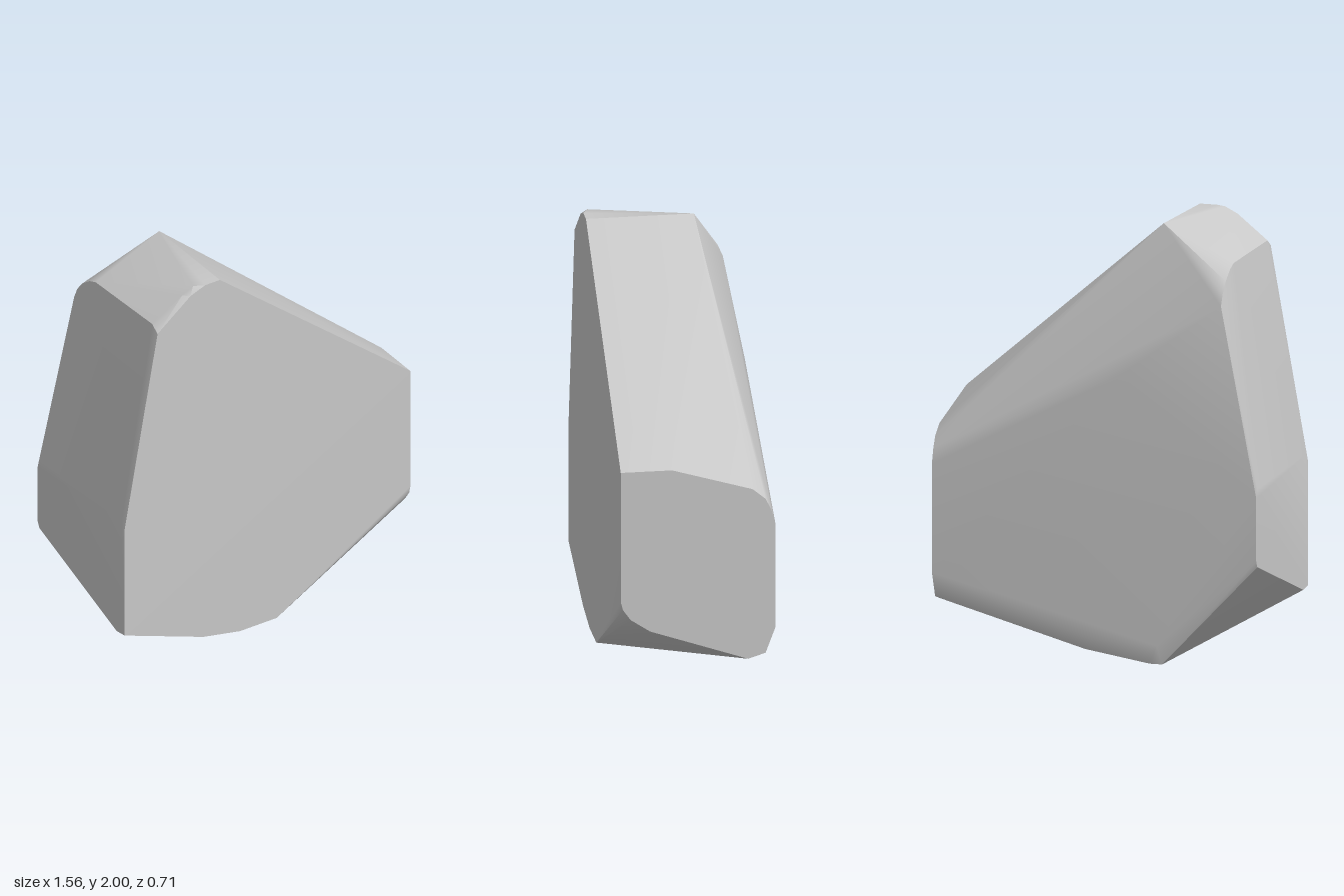
import * as THREE from 'three';
import { ConvexGeometry } from 'three/addons/geometries/ConvexGeometry.js';

// corners lying in a plane of constant x or z, listed as pairs
const atZ = (z, pairs) => pairs.map(([x, y]) => new THREE.Vector3(x, y, z));
const atX = (x, pairs) => pairs.map(([z, y]) => new THREE.Vector3(x, y, z));

// smooth shading weighted by face area, so broad faces stay flat; sharper edges than `angle` stay hard
function shadeByArea(geometry, angle) {
  const position = geometry.attributes.position;
  const normal = geometry.attributes.normal;
  const point = (i) => new THREE.Vector3().fromBufferAttribute(position, i);
  const facesAt = new Map();
  const key = (p) => p.toArray().map((v) => v.toFixed(4)).join();

  for (let i = 0; i < position.count; i += 3) {
    const [a, b, c] = [point(i), point(i + 1), point(i + 2)];
    const areaNormal = b.clone().sub(a).cross(c.clone().sub(a));
    for (const p of [a, b, c]) {
      if (!facesAt.has(key(p))) facesAt.set(key(p), []);
      facesAt.get(key(p)).push(areaNormal);
    }
  }
  for (let i = 0; i < position.count; i++) {
    const own = new THREE.Vector3().fromBufferAttribute(normal, i);
    const sum = new THREE.Vector3();
    for (const n of facesAt.get(key(point(i)))) if (own.angleTo(n) < angle) sum.add(n);
    sum.normalize();
    normal.setXYZ(i, sum.x, sum.y, sum.z);
  }
  return geometry;
}

export function createModel() {
  const stone = new THREE.MeshStandardMaterial({ color: 0xc8c8c8 });
  stone.name = 'stoneGrey';

  const corners = [
    // broad flat front
    ...atZ(0.355, [
      [-0.78, 0.27], [-0.78, 0.84], [-0.6, 1.83], [-0.42, 1.97], [-0.34, 2], [-0.26, 2],
      [0.78, 1.14], [0.78, 0.52], [0.05, 0.07], [-0.15, 0.07], [-0.35, 0.11],
    ]),
    // right end
    ...atX(0.78, [
      [0.12, 1.14], [-0.25, 1.03], [-0.31, 0.98], [-0.335, 0.93], [-0.355, 0.86],
      [-0.355, 0.36], [-0.31, 0.24], [-0.23, 0.215], [0.22, 0.37], [0.31, 0.43], [0.345, 0.48],
    ]),
    // left end and its leaning upper edge
    ...atX(-0.78, [[0.29, 0.26], [-0.34, 0.48], [-0.355, 0.51], [-0.355, 0.8], [-0.34, 0.84], [0.33, 0.88]]),
    ...atX(-0.6, [
      [0.31, 1.86], [-0.15, 1.84], [-0.2, 1.82], [-0.26, 1.775], [-0.3, 1.725], [-0.325, 1.67],
    ]),
    // back face
    ...atZ(-0.355, [[-0.13, 1.33], [-0.3, 0.09], [0.02, 0.1]]),
    // peak
    ...atZ(-0.14, [[-0.26, 2]]),
    ...atZ(0.33, [[-0.45, 1.97], [-0.39, 2]]),
    // foot
    ...atZ(-0.335, [[-0.32, 0], [-0.26, 0], [0.05, 0.048]]),
    ...atZ(-0.05, [[-0.32, 0], [-0.27, 0]]),
    ...atZ(-0.25, [[0.2, 0.075]]),
  ];

  const rock = new THREE.Mesh(shadeByArea(new ConvexGeometry(corners), 0.66), stone);
  rock.name = 'rock';

  const group = new THREE.Group();
  group.name = 'boulder';
  group.add(rock);
  return group;
}
